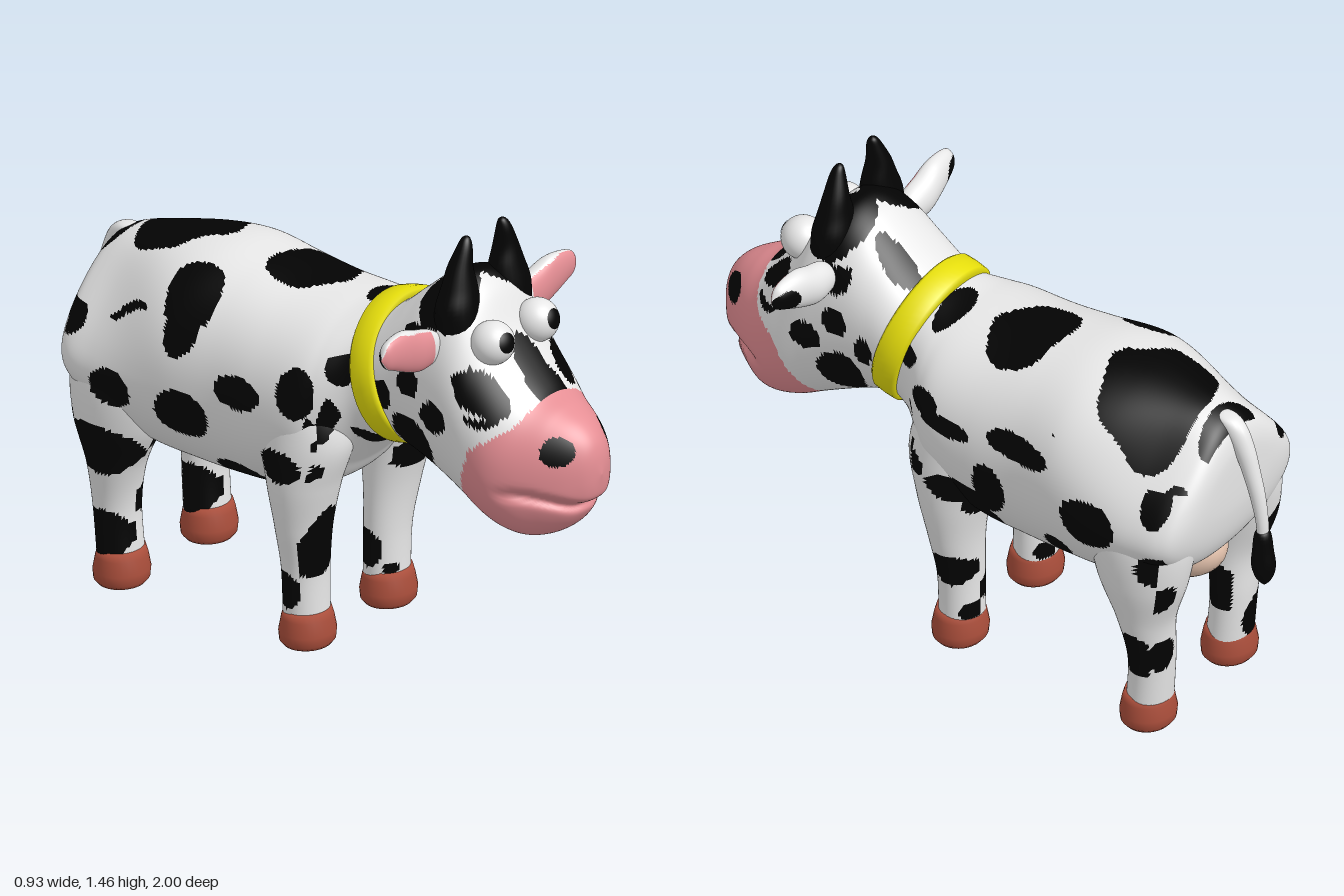
import * as THREE from 'three';

const mat = (name, color) => {
  const m = new THREE.MeshStandardMaterial({ color });
  m.name = name;
  return m;
};
const smooth = THREE.MathUtils.smoothstep;

// Smooth closed skin through rows [t, centreU, centreV, radiusU, radiusV] along axis k (0 x, 1 y, 2 z)
function loft(k, rows, rings, segs, power = 2, warp = null) {
  const u = (k + 1) % 3, v = (k + 2) % 3, pos = [], idx = [];
  const at = (s) => {
    const f = s * (rows.length - 1), i = Math.min(Math.floor(f), rows.length - 2), t = f - i;
    const r = (n) => rows[Math.max(0, Math.min(rows.length - 1, n))];
    return rows[0].map((_, c) => {
      const [a, b, d, e] = [r(i - 1)[c], r(i)[c], r(i + 1)[c], r(i + 2)[c]];
      return b + 0.5 * t * (d - a + t * (2 * a - 5 * b + 4 * d - e + t * (3 * (b - d) + e - a)));
    });
  };
  const soft = (c) => Math.sign(c) * Math.pow(Math.abs(c), 2 / power);
  for (let i = 0; i <= rings; i++) {
    const [t, cu, cv, ru, rv] = at(i / rings);
    for (let j = 0; j < segs; j++) {
      const a = (j / segs) * Math.PI * 2, p = [0, 0, 0];
      p[k] = t;
      p[u] = cu + Math.max(ru, 0.0004) * soft(Math.cos(a));
      p[v] = cv + Math.max(rv, 0.0004) * soft(Math.sin(a));
      if (warp) warp(p);
      pos.push(...p);
      if (i < rings) {
        const A = i * segs + j, B = i * segs + (j + 1) % segs;
        idx.push(A, B, B + segs, A, B + segs, A + segs);
      }
    }
  }
  const g = new THREE.BufferGeometry();
  g.setAttribute('position', new THREE.Float32BufferAttribute(pos, 3));
  g.setIndex(idx);
  g.computeVertexNormals();
  return g;
}

// Sort faces into material groups by a rule on the face centre and normal
function paint(g, rule, count) {
  const ix = g.index.array, lists = Array.from({ length: count }, () => []);
  const v = new THREE.Vector3();
  const mean = (attr, f) => [0, 1, 2].reduce(
    (sum, c) => sum.addScaledVector(v.fromBufferAttribute(attr, ix[f + c]), 1 / 3), new THREE.Vector3());
  for (let f = 0; f < ix.length; f += 3)
    lists[rule(mean(g.attributes.position, f), mean(g.attributes.normal, f))].push(ix[f], ix[f + 1], ix[f + 2]);
  g.setIndex(lists.flat());
  let start = 0;
  lists.forEach((l, m) => { g.addGroup(start, l.length, m); start += l.length; });
  return g;
}

// Coat spots: left and right [z, y, rz, ry], top [x, z, rx, rz], front and rear [x, y, rx, ry]
const leftSpots = [
  [0.08, 0.9, 0.055, 0.035], [-0.01, 0.86, 0.09, 0.03], [-0.28, 0.89, 0.11, 0.045], [-0.55, 0.745, 0.1, 0.08],
  [-0.18, 0.7, 0.06, 0.09], [-0.08, 0.635, 0.14, 0.045], [-0.12, 0.56, 0.065, 0.06], [-0.41, 0.575, 0.05, 0.05],
  [-0.27, 0.46, 0.09, 0.03], [-0.52, 0.49, 0.05, 0.045], [-0.62, 1.05, 0.18, 0.065], [-0.77, 0.86, 0.045, 0.07],
  [-0.79, 0.65, 0.06, 0.055], [-0.7, 0.285, 0.075, 0.085], [0.005, 0.305, 0.065, 0.065], [-0.05, 0.13, 0.03, 0.03],
  [0.2, 0.71, 0.08, 0.07], [0.12, 0.67, 0.06, 0.04], [0.2, 1.0, 0.05, 0.06]];
const rightSpots = [
  [0.06, 0.86, 0.06, 0.08], [-0.37, 0.97, 0.06, 0.09], [-0.65, 0.97, 0.09, 0.045], [-0.36, 0.69, 0.1, 0.08],
  [-0.15, 0.82, 0.09, 0.05], [-0.62, 0.7, 0.08, 0.06], [-0.82, 0.86, 0.06, 0.05], [-0.68, 0.48, 0.13, 0.09],
  [-0.7, 0.17, 0.08, 0.09], [-0.2, 0.5, 0.09, 0.05], [0, 0.19, 0.055, 0.06], [0.02, 0.62, 0.08, 0.05],
  [0.19, 0.7, 0.07, 0.06], [0.19, 0.98, 0.05, 0.08], [-0.12, 1.0, 0.06, 0.04]];
const topSpots = [
  [0.07, -0.61, 0.2, 0.165], [-0.24, -0.38, 0.1, 0.09], [0.05, -0.14, 0.15, 0.125], [0.02, -0.84, 0.14, 0.05],
  [0.29, -0.83, 0.07, 0.06], [-0.31, -0.6, 0.045, 0.1], [0.34, -0.35, 0.04, 0.1], [0.07, 0.13, 0.1, 0.045]];
const frontSpots = [
  [-0.21, 0.35, 0.09, 0.125], [0.2, 0.52, 0.09, 0.055], [0.22, 0.645, 0.07, 0.06], [0.28, 0.29, 0.03, 0.07],
  [-0.28, 0.83, 0.05, 0.1], [0.3, 0.88, 0.04, 0.08], [-0.31, 0.62, 0.04, 0.03], [0.14, 0.13, 0.03, 0.02]];
const rearSpots = [[-0.26, 0.88, 0.05, 0.04], [-0.28, 0.5, 0.08, 0.09], [-0.24, 0.17, 0.07, 0.085], [0.29, 0.53, 0.03, 0.05], [0.25, 0.29, 0.05, 0.06]];
const headSides = [
  [0.46, 0.79, 0.078, 0.09], [0.56, 0.9, 0.055, 0.05], [0.46, 0.99, 0.045, 0.05],
  [0.36, 0.92, 0.03, 0.045], [0.73, 0.965, 0.06, 0.055], [0.47, 1.14, 0.045, 0.06]];
const headFront = [[0, 1.0, 0.07, 0.06], [0, 1.06, 0.05, 0.075], [-0.185, 1.015, 0.05, 0.07], [0.145, 1.02, 0.05, 0.06]];
const headTop = [[-0.1, 0.5, 0.1, 0.085], [0.1, 0.51, 0.11, 0.08], [0.08, 0.33, 0.045, 0.08]];

const hit = (list, a, b) => {
  const wob = 0.08 * Math.sin(24 * a + 13 * b) + 0.06 * Math.sin(29 * b - 17 * a + 1);
  return list.some(([ca, cb, ra, rb]) => Math.hypot((a - ca) / ra, (b - cb) / rb) < 1 + wob) ? 1 : 0;
};
const coat = (p, n) => {
  if (n.y > 0.5 && p.y > 0.9) return hit(topSpots, p.x, p.z);
  if (n.z > 0.6 && p.z > 0) return hit(frontSpots, p.x, p.y);
  if (n.z < -0.6 && p.z < -0.65) return hit(rearSpots, p.x, p.y);
  return hit(n.x > 0 ? leftSpots : rightSpots, p.z, p.y);
};
const face = (p, n) => {
  const edge = p.y > 0.84
    ? 0.68 + (p.y - 0.84) * 0.93 + 1.5 * p.x * p.x * smooth(p.y, 0.84, 0.95)
    : 0.575 + (p.y - 0.58) * 0.4;
  if (p.z > edge) { // muzzle with slanted nostrils
    const x = Math.abs(p.x) - 0.108, y = p.y - 0.855;
    return p.z > 0.8 && Math.hypot((x + 0.4 * y) / 0.036, (y - 0.1 * x) / 0.044) < 1 ? 1 : 2;
  }
  if (p.y > 1.17 || (n.y > 0.5 && p.y > 1.05 && p.z < 0.5)) return hit(headTop, p.x, p.z);
  if (n.z > 0.25 && p.z > 0.52 && p.y > 0.94) return hit(headFront, p.x, p.y);
  return hit(headSides, p.z + (p.x < 0 ? 0.03 : 0), p.y);
};
// Press the mouth line into the muzzle
const mouth = (p) => {
  const s = smooth(p[2], 0.72, 0.88);
  const line = 0.665 + 0.045 * smooth(Math.abs(p[0]), 0.03, 0.2);
  const dent = s * Math.exp(-(((p[1] - line) / 0.018) ** 2));
  p[0] *= 1 - 0.08 * dent;
  p[2] -= 0.03 * dent + 0.02 * s * (1 - smooth(p[1], line - 0.015, line + 0.015));
};
// Narrow the rump towards the root of the tail
const rump = (p) => { p[0] *= 1 - 0.5 * smooth(p[1], 0.68, 1.08) * smooth(-p[2], 0.4, 0.85); };

export function createModel() {
  const model = new THREE.Group();
  const white = mat('white coat', 0xf2f2f2), black = mat('black patches', 0x030303);
  const pink = mat('pink skin', 0xe58e94), hoofRed = mat('hoof brown', 0xaa4e3b);
  const yellow = mat('collar yellow', 0xe8e00c), peach = mat('udder peach', 0xe8c6b0);
  const add = (name, geo, material, x = 0, y = 0, z = 0) => {
    const m = new THREE.Mesh(geo, material);
    m.name = name;
    m.position.set(x, y, z);
    model.add(m);
    return m;
  };
  // Rows given as [z, top, bottom, half width]
  const span = (rows) => rows.map(([z, t, b, w]) => [z, 0, (t + b) / 2, w, (t - b) / 2]);

  // Body
  const body = span([
    [-0.88, 0.88, 0.88, 0], [-0.875, 0.97, 0.74, 0.21], [-0.85, 1.035, 0.63, 0.315], [-0.8, 1.07, 0.56, 0.355],
    [-0.7, 1.1, 0.5, 0.362], [-0.55, 1.13, 0.45, 0.36], [-0.4, 1.14, 0.435, 0.35], [-0.25, 1.125, 0.43, 0.335],
    [-0.1, 1.105, 0.445, 0.335], [0.05, 1.1, 0.5, 0.325], [0.12, 1.1, 0.58, 0.29], [0.2, 1.11, 0.66, 0.235],
    [0.28, 1.12, 0.71, 0.21], [0.34, 1.05, 0.76, 0.16]]);
  add('body', paint(loft(2, body, 160, 210, 2.2, rump), coat, 2), [white, black]);

  // Head with muzzle
  const head = span([
    [0.16, 1.08, 0.78, 0.18], [0.26, 1.135, 0.72, 0.218], [0.36, 1.22, 0.69, 0.224], [0.44, 1.285, 0.655, 0.229],
    [0.52, 1.31, 0.615, 0.235], [0.59, 1.265, 0.58, 0.24], [0.66, 1.15, 0.545, 0.24], [0.73, 1.06, 0.525, 0.232],
    [0.8, 0.99, 0.523, 0.205], [0.87, 0.955, 0.545, 0.165], [0.93, 0.92, 0.59, 0.12], [0.97, 0.88, 0.65, 0.077],
    [0.99, 0.835, 0.7, 0.042], [1.0, 0.77, 0.77, 0]]);
  add('head', paint(loft(2, head, 110, 110, 2.2, mouth), face, 3), [white, black, pink]);

  // Legs and hooves, rows [y, z, x, rz, rx]
  const foreLeg = [
    [0.09, 0.015, 0.19, 0.068, 0.078], [0.25, 0.015, 0.195, 0.068, 0.083], [0.4, 0.02, 0.21, 0.082, 0.1],
    [0.55, 0.025, 0.215, 0.115, 0.117], [0.7, 0.025, 0.2, 0.155, 0.127], [0.85, 0.01, 0.18, 0.13, 0.115], [1.0, 0.0, 0.15, 0.05, 0.05]];
  const hindLeg = [
    [0.09, -0.69, 0.205, 0.068, 0.08], [0.25, -0.7, 0.21, 0.07, 0.08], [0.4, -0.69, 0.225, 0.092, 0.092],
    [0.55, -0.68, 0.23, 0.15, 0.115], [0.7, -0.67, 0.215, 0.18, 0.128], [0.82, -0.66, 0.18, 0.17, 0.12], [0.95, -0.65, 0.12, 0.06, 0.05]];
  const hoof = new THREE.LatheGeometry([[0, 0], [0.078, 0], [0.091, 0.015], [0.094, 0.045], [0.085, 0.09], [0.077, 0.116], [0, 0.116]]
    .map(([r, y]) => new THREE.Vector2(r, y)), 32).scale(1, 1, 0.9);
  for (const s of [-1, 1]) {
    const side = s > 0 ? 'left' : 'right';
    for (const [name, rows] of [['Front', foreLeg], ['Hind', hindLeg]]) {
      const mirrored = rows.map(([y, z, x, rz, rx]) => [y, z, s * x, rz, rx]);
      add(side + name + 'Leg', paint(loft(1, mirrored, 70, 48), coat, 2), [white, black]);
      add(side + name + 'Hoof', hoof, hoofRed, s * (rows[0][2] + 0.002), 0, rows[0][1] + 0.005);
    }

    // Ear, hollowed in front, with pink lining and dark tip behind
    let ear = [
      [0.17, 1.12, 0.515, 0.03, 0.03], [0.22, 1.13, 0.515, 0.055, 0.048], [0.28, 1.137, 0.515, 0.067, 0.054],
      [0.34, 1.157, 0.518, 0.068, 0.05], [0.4, 1.17, 0.522, 0.054, 0.04], [0.44, 1.173, 0.525, 0.037, 0.027],
      [0.463, 1.17, 0.525, 0, 0]].map((r) => [s * r[0], ...r.slice(1)]);
    if (s < 0) ear = ear.reverse();
    const hollow = (p) => { if (p[2] > 0.52) p[2] = 0.52 + (p[2] - 0.52) * 0.6; };
    const earRule = (p, n) => (n.z > 0.58 && Math.abs(p.x) > 0.235 && p.y < 1.13 + 0.25 * Math.abs(p.x) ? 2
      : n.z < 0.3 && Math.hypot((Math.abs(p.x) - 0.42) / 0.045, (p.y - 1.155) / 0.045) < 1 ? 1 : 0);
    add(side + 'Ear', paint(loft(0, ear, 44, 44, 2, hollow), earRule, 3), [white, black, pink]);

    // Horn
    const horn = [
      [1.17, 0.54, 0.12, 0.07, 0.075], [1.24, 0.54, 0.12, 0.062, 0.076], [1.3, 0.54, 0.112, 0.05, 0.062],
      [1.36, 0.54, 0.108, 0.038, 0.042], [1.42, 0.545, 0.094, 0.024, 0.026], [1.448, 0.545, 0.087, 0.013, 0.014],
      [1.456, 0.545, 0.085, 0, 0]].map((r) => [r[0], r[1], s * r[2], r[3], r[4]]);
    add(side + 'Horn', loft(1, horn, 28, 24), black);

    // Eye with a thin pupil cap
    add(side + 'Eye', new THREE.SphereGeometry(0.068, 32, 24), white, s * 0.105, 1.145, 0.664);
    const pupil = add(side + 'Pupil', new THREE.SphereGeometry(0.07, 28, 8, 0, Math.PI * 2, 0, 0.47), black, s * 0.105, 1.145, 0.664);
    pupil.quaternion.setFromUnitVectors(new THREE.Vector3(0, 1, 0), new THREE.Vector3(s * 0.007, 0.02, 0.068).normalize());
  }

  // Collar
  const band = [[0.19, -0.044], [0.226, -0.047], [0.237, -0.036], [0.239, 0], [0.237, 0.036], [0.226, 0.047], [0.19, 0.044], [0.19, -0.044]];
  const collar = add('collar', new THREE.LatheGeometry(band.map(([r, y]) => new THREE.Vector2(r, y)), 64).scale(1.015, 1, 1), yellow, 0, 0.92, 0.266);
  collar.rotation.x = 1.31;

  // Udder and teats
  add('udder', new THREE.SphereGeometry(1, 32, 24).scale(0.125, 0.12, 0.18), peach, 0, 0.535, -0.63);
  for (const x of [-0.04, 0.04]) for (const z of [-0.54, -0.64])
    add('teat', new THREE.ConeGeometry(0.026, 0.04, 16).rotateX(Math.PI), peach, x, 0.415, z);

  // Tail and tuft, rows [y, z, x, rz, rx]
  const tail = [[0.66, -0.957, 0, 0.018, 0.02], [0.72, -0.955, 0, 0.019, 0.021], [0.81, -0.938, 0, 0.025, 0.024],
    [0.9, -0.911, 0, 0.03, 0.028], [0.97, -0.885, 0, 0.036, 0.032], [1.03, -0.85, 0, 0.045, 0.034],
    [1.06, -0.825, 0, 0.035, 0.028], [1.068, -0.815, 0, 0, 0]];
  add('tail', loft(1, tail, 40, 20), white);
  const tuft = [[0.49, -0.963, 0, 0, 0], [0.515, -0.961, 0, 0.024, 0.022], [0.56, -0.96, 0, 0.039, 0.034],
    [0.62, -0.958, 0, 0.033, 0.031], [0.68, -0.957, 0, 0.024, 0.025], [0.7, -0.956, 0, 0, 0]];
  add('tailTuft', loft(1, tuft, 24, 20), black);
  return model;
}
